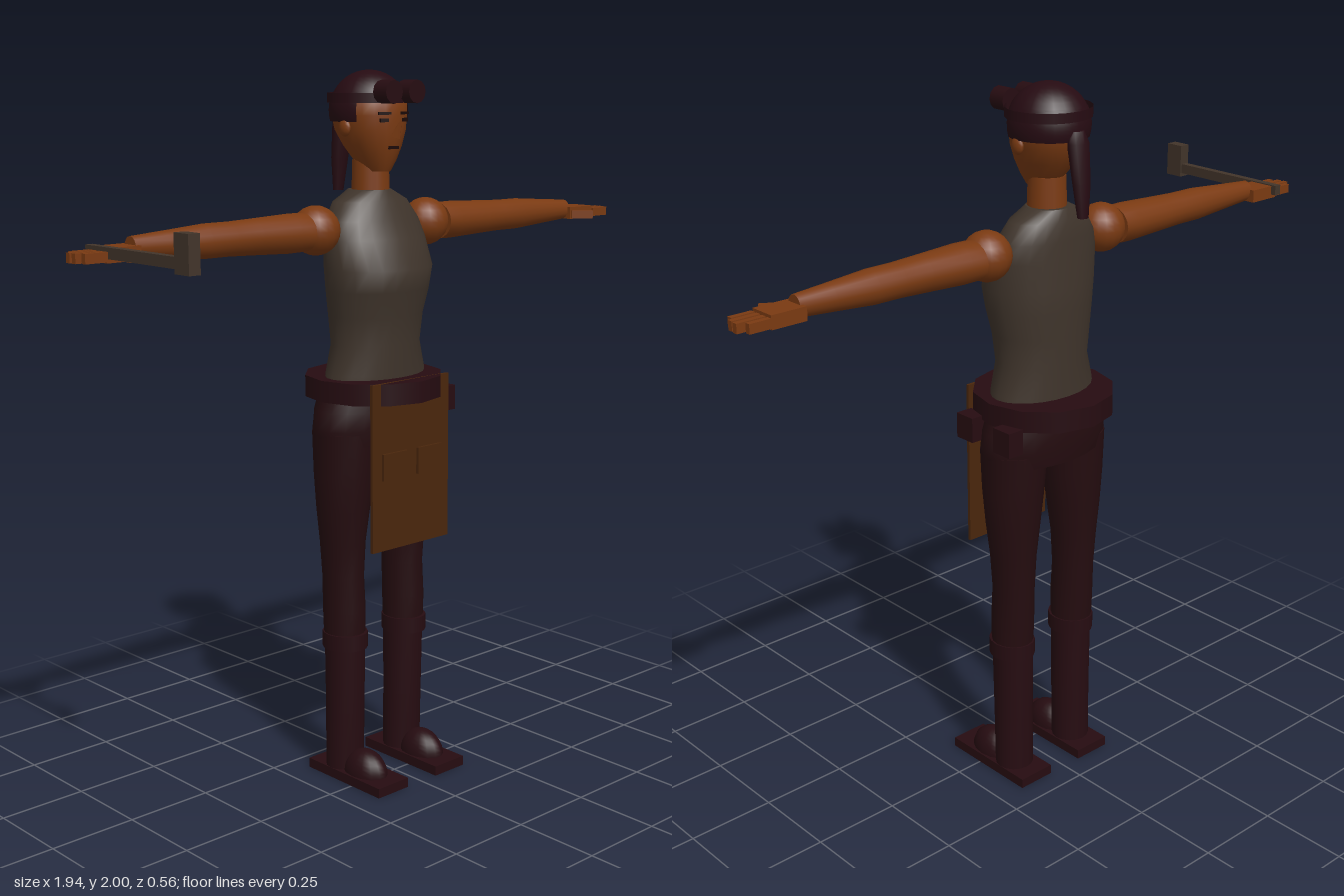
import * as THREE from 'three';

const mat = (name, color, side = THREE.FrontSide) => {
  const m = new THREE.MeshStandardMaterial({ color, side });
  m.name = name;
  return m;
};

// Closed smooth tube through elliptical rings [y, cx, cz, rx, rz], listed bottom to top
function loft(rings, n = 20) {
  const pos = [], idx = [];
  const addRing = ([y, cx, cz, rx, rz]) => {
    for (let j = 0; j < n; j++) {
      const a = (j / n) * Math.PI * 2;
      pos.push(cx + Math.cos(a) * rx, y, cz + Math.sin(a) * rz);
    }
  };
  rings.forEach(addRing);
  for (let i = 0; i < rings.length - 1; i++) {
    for (let j = 0; j < n; j++) {
      const k = (j + 1) % n, a = i * n + j, b = i * n + k, c = a + n, d = b + n;
      idx.push(a, c, b, b, c, d);
    }
  }
  // End caps with their own vertices so the rims stay sharp
  for (const [ring, top] of [[rings[0], false], [rings[rings.length - 1], true]]) {
    const s = pos.length / 3;
    addRing(ring);
    pos.push(ring[1], ring[0], ring[2]);
    for (let j = 0; j < n; j++) {
      const k = (j + 1) % n;
      if (top) idx.push(s + n, s + k, s + j);
      else idx.push(s + n, s + j, s + k);
    }
  }
  const g = new THREE.BufferGeometry();
  g.setAttribute('position', new THREE.Float32BufferAttribute(pos, 3));
  g.setIndex(idx);
  g.computeVertexNormals();
  return g;
}

export function createModel() {
  const model = new THREE.Group();
  const skin = mat('skin', 0x7a3a12);
  const shirt = mat('shirt', 0x3f342b);
  const pants = mat('trousers', 0x240c0f);
  const leather = mat('darkLeather', 0x260c11);
  const hair = mat('hair', 0x260b12, THREE.DoubleSide);
  const canvas = mat('apronCanvas', 0x4a260c);
  const metal = mat('toolMetal', 0x42342a);
  const dark = mat('faceLines', 0x1c0a08);

  const add = (name, geo, material, x = 0, y = 0, z = 0, parent = model) => {
    const m = new THREE.Mesh(geo, material);
    m.name = name;
    m.position.set(x, y, z);
    parent.add(m);
    return m;
  };
  const box = (name, material, w, h, d, x, y, z, parent) =>
    add(name, new THREE.BoxGeometry(w, h, d), material, x, y, z, parent);

  // Torso and neck
  add('torso', loft([
    [1.13, 0, -0.08, 0.165, 0.105], [1.18, 0, -0.078, 0.16, 0.107], [1.26, 0, -0.077, 0.137, 0.108],
    [1.34, 0, -0.075, 0.147, 0.113], [1.41, 0, -0.067, 0.16, 0.122], [1.47, 0, -0.063, 0.168, 0.127],
    [1.55, 0, -0.08, 0.167, 0.101], [1.6, 0, -0.09, 0.153, 0.09], [1.65, 0, -0.098, 0.12, 0.075],
    [1.68, 0, -0.1, 0.06, 0.06],
  ], 24), shirt);
  add('neck', new THREE.CylinderGeometry(0.05, 0.054, 0.13, 16), skin, 0, 1.695, -0.095);

  // Head and face
  add('head', loft([
    [1.73, 0, -0.072, 0.033, 0.045], [1.76, 0, -0.078, 0.053, 0.066], [1.8, 0, -0.088, 0.076, 0.088],
    [1.84, 0, -0.096, 0.094, 0.102], [1.88, 0, -0.1, 0.102, 0.107], [1.92, 0, -0.1, 0.102, 0.105],
    [1.96, 0, -0.1, 0.075, 0.078],
  ], 20), skin);
  const nose = add('nose', new THREE.ConeGeometry(0.017, 0.055, 4), skin, 0, 1.85, 0.018);
  nose.rotation.x = 0.45;
  box('mouth', dark, 0.036, 0.008, 0.008, 0, 1.795, -0.004);
  for (const s of [1, -1]) {
    box('eye', dark, 0.024, 0.01, 0.008, s * 0.037, 1.868, 0).rotation.y = s * 0.3;
    box('eyebrow', dark, 0.036, 0.007, 0.008, s * 0.037, 1.886, 0.001).rotation.y = s * 0.3;
    add('ear', new THREE.SphereGeometry(0.02, 10, 8), skin, s * 0.098, 1.848, -0.09).scale.set(0.6, 1.2, 1);
  }

  // Hair cap, lower back of the hair and ponytail
  const cap = add('hairCrown', new THREE.SphereGeometry(0.108, 20, 8, 0, Math.PI * 2, 0, 1.2), hair, 0, 1.892, -0.1);
  cap.scale.z = 1.02;
  const back = add('hairBack', new THREE.SphereGeometry(0.109, 20, 8, Math.PI - 0.5, Math.PI + 1, 1.1, 0.74), hair, 0, 1.892, -0.1);
  back.scale.z = 1.02;
  add('ponytail', loft([
    [1.67, 0, -0.229, 0.016, 0.013], [1.76, 0, -0.222, 0.027, 0.02],
    [1.86, 0, -0.208, 0.033, 0.024], [1.89, 0, -0.2, 0.022, 0.02],
  ], 8), hair);

  // Goggles pushed up on the forehead
  const strap = add('goggleStrap', new THREE.CylinderGeometry(0.117, 0.117, 0.026, 20, 1, true), hair, 0, 1.926, -0.1);
  strap.scale.z = 0.95;
  for (const s of [1, -1]) {
    add('goggleLens', new THREE.CylinderGeometry(0.031, 0.031, 0.05, 12), leather, s * 0.042, 1.943, 0.02).rotation.x = Math.PI / 2;
  }

  // Pelvis, belt, pouches and apron
  add('pelvis', loft([
    [0.985, 0, -0.085, 0.195, 0.11], [1.03, 0, -0.085, 0.208, 0.116],
    [1.08, 0, -0.085, 0.2, 0.117], [1.15, 0, -0.085, 0.175, 0.11],
  ], 20), pants);
  add('belt', new THREE.CylinderGeometry(0.195, 0.195, 0.06, 12), leather, 0, 1.14, -0.085);
  for (const z of [-0.008, -0.155]) box('pouch', leather, 0.05, 0.07, 0.063, 0.192, 1.085, z);
  box('apron', canvas, 0.29, 0.47, 0.009, 0, 0.935, 0.063);
  for (const s of [1, -1]) box('apronPocket', canvas, 0.09, 0.075, 0.01, s * 0.065, 0.938, 0.071);

  // Legs and boots
  for (const s of [1, -1]) {
    const leg = new THREE.Group();
    leg.name = s > 0 ? 'leftLeg' : 'rightLeg';
    model.add(leg);
    add('trouserLeg', loft([
      [0.4, s * 0.115, -0.085, 0.058, 0.059], [0.5, s * 0.115, -0.086, 0.058, 0.064],
      [0.6, s * 0.115, -0.09, 0.056, 0.063], [0.7, s * 0.116, -0.09, 0.062, 0.068],
      [0.8, s * 0.115, -0.088, 0.075, 0.077], [0.9, s * 0.112, -0.086, 0.086, 0.085],
      [1.02, s * 0.108, -0.085, 0.094, 0.091],
    ], 16), pants, 0, 0, 0, leg);
    add('bootShaft', loft([
      [0.01, s * 0.113, -0.09, 0.055, 0.054], [0.2, s * 0.113, -0.087, 0.056, 0.055],
      [0.4, s * 0.114, -0.085, 0.058, 0.057],
    ], 16), leather, 0, 0, 0, leg);
    add('bootCuff', new THREE.CylinderGeometry(0.062, 0.062, 0.045, 16), leather, s * 0.115, 0.413, -0.083, leg).scale.z = 1.1;
    box('bootSole', leather, 0.113, 0.028, 0.3, s * 0.112, 0.014, -0.035, leg);
    add('bootToe', new THREE.SphereGeometry(1, 14, 8, 0, Math.PI * 2, 0, Math.PI / 2), leather, s * 0.112, 0.027, -0.002, leg)
      .scale.set(0.052, 0.068, 0.075);
  }

  // Arms and hands, stretched out sideways
  for (const s of [1, -1]) {
    const arm = new THREE.Group();
    arm.name = s > 0 ? 'leftArm' : 'rightArm';
    model.add(arm);
    add('shoulder', new THREE.SphereGeometry(0.067, 18, 12), skin, s * 0.205, 1.58, -0.09, arm);
    const sleeve = add('armLimb', loft([
      [0.25, 0, 0, 0.052, 0.06], [0.3, 0, 0, 0.053, 0.06], [0.42, 0, 0, 0.048, 0.052],
      [0.5, 0, 0, 0.045, 0.047], [0.58, 0, 0, 0.045, 0.045], [0.7, 0, 0, 0.036, 0.034],
      [0.8, 0, 0, 0.029, 0.025],
    ], 16), skin, 0, 1.578, -0.09, arm);
    sleeve.rotation.z = -s * Math.PI / 2;
    box('palm', skin, 0.1, 0.036, 0.075, s * 0.842, 1.568, -0.092, arm);
    [0.06, 0.08, 0.078, 0.065].forEach((len, i) =>
      box('finger', skin, len, 0.025, 0.015, s * (0.892 + len / 2), 1.566, -0.122 + i * 0.022, arm));
    box('thumb', skin, 0.065, 0.024, 0.02, s * 0.825, 1.564, -0.036, arm).rotation.y = -s * 0.65;
  }

  // Hammer held in the right hand
  box('hammerHandle', metal, 0.022, 0.028, 0.39, -0.882, 1.575, 0.05);
  box('hammerHead', metal, 0.033, 0.095, 0.055, -0.882, 1.598, 0.253);
  return model;
}
